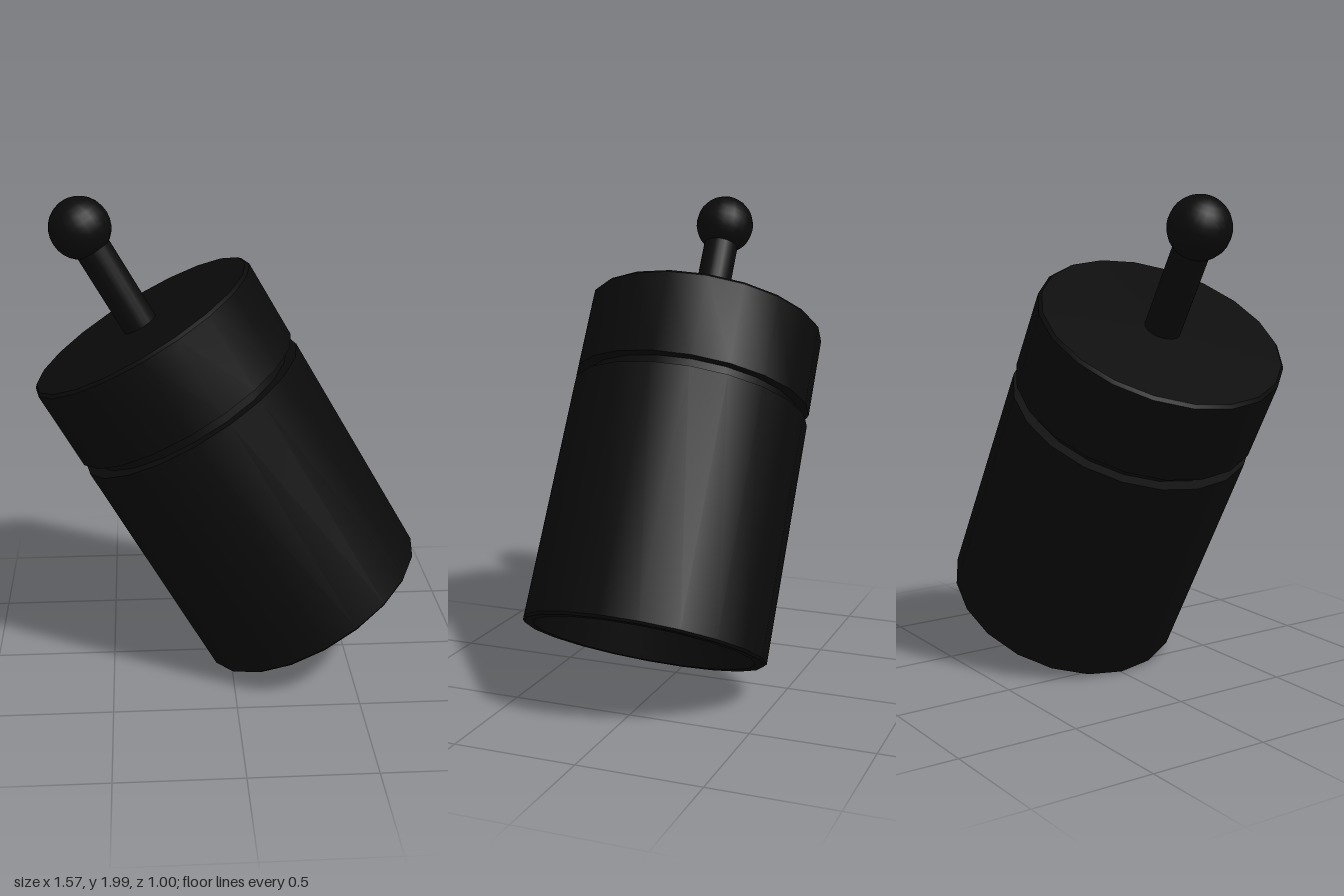
import * as THREE from 'three';
import { toCreasedNormals } from 'three/addons/utils/BufferGeometryUtils.js';

const SIDES = 20;

export function createModel() {
  const model = new THREE.Group();
  model.name = 'tiltedCanister';
  const black = new THREE.MeshStandardMaterial({ color: 0x0a0a0a });

  // Everything is built upright along one axis, then leaned over by 30 degrees.
  const tilted = new THREE.Group();
  tilted.name = 'canister';
  tilted.position.set(0.352, 0.252, 0);
  tilted.rotation.z = Math.PI / 6;
  model.add(tilted);

  const add = (name, geometry, y = 0) => {
    const mesh = new THREE.Mesh(geometry, black);
    mesh.name = name;
    mesh.position.y = y;
    tilted.add(mesh);
  };
  const turned = (profile) => toCreasedNormals(
    new THREE.LatheGeometry(profile.map(([r, y]) => new THREE.Vector2(r, y)), SIDES), 0.6);

  // Main body with a stepped recess in its underside
  add('body', turned([
    [0, 0.16], [0.33, 0.16], [0.33, 0.13], [0.4, 0.13], [0.455, 0],
    [0.49, 0], [0.5, 0.01], [0.5, 1.025], [0, 1.025],
  ]));

  // Narrow neck that forms the groove below the cap
  add('neck', new THREE.CylinderGeometry(0.45, 0.45, 0.06, SIDES, 1, true), 1.048);

  // Cap with a slightly bevelled top edge
  add('cap', turned([
    [0, 1.072], [0.5, 1.072], [0.5, 1.411], [0.488, 1.423], [0, 1.423],
  ]));

  // Stick and ball knob on top
  add('stick', new THREE.CylinderGeometry(0.073, 0.073, 0.44, SIDES), 1.62);
  add('knob', new THREE.SphereGeometry(0.124, SIDES, 14), 1.876);

  return model;
}
